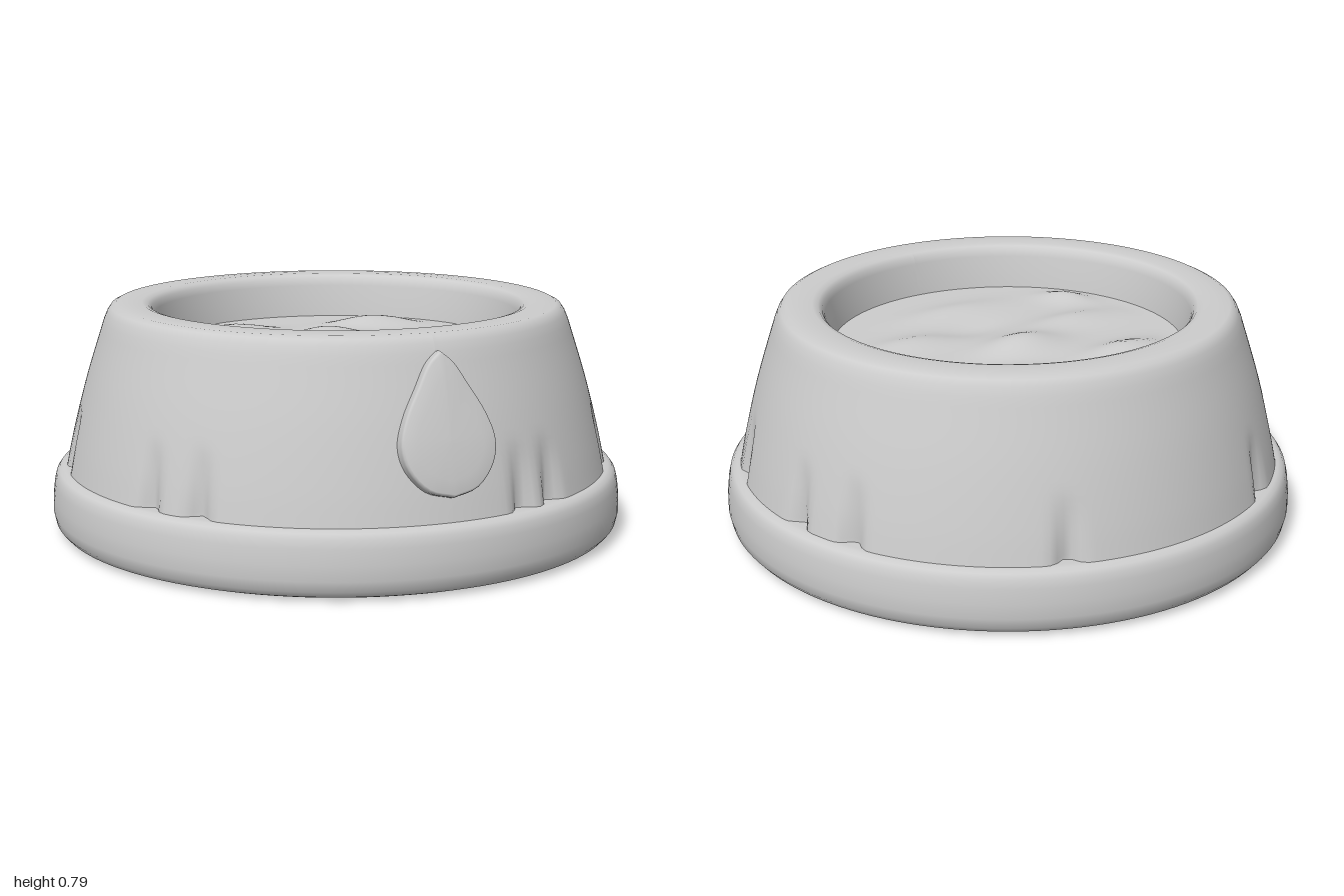
import * as THREE from 'three';

const points = (list) => list.map(([x, y]) => new THREE.Vector2(x, y));

// Smooth profile through a few points, with every segment subdivided
function smoothProfile(list, steps) {
  return new THREE.CatmullRomCurve3(list.map(([x, y]) => new THREE.Vector3(x, y, 0)), false, 'centripetal')
    .getPoints(steps).map((p) => new THREE.Vector2(p.x, p.y));
}

// Solid foot ring with a flat underside
function makeBase() {
  return new THREE.LatheGeometry(points([
    [0, 0], [0.9, 0], [0.945, 0.004], [0.975, 0.015], [0.992, 0.035], [1, 0.07], [0.999, 0.12],
    [0.993, 0.17], [0.986, 0.198], [0.975, 0.214], [0.96, 0.222], [0.94, 0.224], [0.8, 0.224],
  ]), 128);
}

// Sloping wall and rounded lip, with small flutes pressed in along the foot
function makeBody() {
  const outer = smoothProfile([
    [0.953, 0.2], [0.925, 0.33], [0.875, 0.52], [0.808, 0.73],
  ], 20);
  const lip = points([
    [0.796, 0.758], [0.783, 0.777], [0.765, 0.786], [0.72, 0.788], [0.675, 0.787], [0.655, 0.781],
    [0.642, 0.768], [0.634, 0.745], [0.625, 0.69], [0.612, 0.63], [0.608, 0.58],
  ]);
  const geometry = new THREE.LatheGeometry([...outer, ...lip], 240);
  const flutes = [
    [-0.48, -0.8], [0.35, -0.87], [-0.93, -0.15], [0.92, -0.17], [0.86, -0.4], [0.89, 0.28],
    [0.8, 0.5], [0.27, 0.9], [0.4, 0.85], [-0.82, 0.45], [-0.7, 0.6], [-0.76, -0.55],
  ].map(([x, z]) => Math.atan2(x, z));
  const pos = geometry.attributes.position;
  for (let i = 0; i < pos.count; i++) {
    const x = pos.getX(i), y = pos.getY(i), z = pos.getZ(i);
    const fade = THREE.MathUtils.clamp((0.44 - y) / 0.22, 0, 1);
    if (fade === 0) continue;
    const angle = Math.atan2(x, z);
    let dent = 0;
    for (const a of flutes) dent = Math.max(dent, Math.exp(-(((angle - a) / 0.035) ** 2)));
    const scale = 1 - 0.045 * dent * fade;
    pos.setXYZ(i, x * scale, y, z * scale);
  }
  geometry.computeVertexNormals();
  return geometry;
}

// Filling with soft, uneven mounds: x, z, width, depth, height
function makeFilling() {
  const mounds = [
    [0, -0.09, 0.15, 0.1, 0.045], [-0.27, -0.32, 0.16, 0.08, 0.035], [0.27, -0.32, 0.16, 0.08, 0.035],
    [-0.3, 0.04, 0.18, 0.08, 0.025], [0.32, 0.13, 0.17, 0.08, 0.025], [-0.46, 0.29, 0.09, 0.09, 0.03],
    [0, 0.36, 0.2, 0.08, 0.02], [0.05, 0.17, 0.14, 0.08, -0.015],
  ];
  const geometry = new THREE.RingGeometry(0.001, 0.617, 96, 32);
  geometry.rotateX(-Math.PI / 2);
  const pos = geometry.attributes.position;
  for (let i = 0; i < pos.count; i++) {
    const x = pos.getX(i), z = pos.getZ(i);
    const edge = THREE.MathUtils.smoothstep(0.617 - Math.hypot(x, z), 0, 0.12);
    let y = 0;
    for (const [mx, mz, w, d, h] of mounds) y += h * Math.exp(-(((x - mx) / w) ** 2) - ((z - mz) / d) ** 2);
    pos.setY(i, 0.63 + y * edge);
  }
  geometry.computeVertexNormals();
  return geometry;
}

// Domed teardrop built from shrinking outlines, lying in the xy plane
function makeDrop() {
  const half = new THREE.CatmullRomCurve3([
    [0, -0.225], [0.085, -0.2], [0.145, -0.13], [0.16, -0.055], [0.135, 0.03], [0.085, 0.12], [0.04, 0.195], [0, 0.23],
  ].map(([x, y]) => new THREE.Vector3(x, y, 0))).getPoints(28);
  const outline = [...half, ...half.slice(1, -1).reverse().map((p) => new THREE.Vector3(-p.x, p.y, 0))];
  const layers = [[1, -0.08], [1, -0.012], [0.985, -0.003], [0.95, 0.002], [0.7, 0.008], [0.35, 0.012], [0, 0.013]];
  const n = outline.length, verts = [], index = [];
  layers.forEach(([s, z], k) => outline.forEach((p, i) => {
    verts.push(p.x * s, (p.y + 0.05) * s - 0.05, z);
    if (k === 0) return;
    const j = (i + 1) % n, a = (k - 1) * n + i, b = (k - 1) * n + j, c = k * n + j, d = k * n + i;
    index.push(a, b, d);
    if (s > 0) index.push(b, c, d);
  }));
  const geometry = new THREE.BufferGeometry();
  geometry.setAttribute('position', new THREE.Float32BufferAttribute(verts, 3));
  geometry.setIndex(index);
  geometry.computeVertexNormals();
  return geometry;
}

export function createModel() {
  const lightGrey = new THREE.MeshStandardMaterial({ color: 0xcccccc });
  lightGrey.name = 'light grey';
  const group = new THREE.Group();
  group.name = 'bowl';
  const add = (name, geometry) => {
    const mesh = new THREE.Mesh(geometry, lightGrey);
    mesh.name = name;
    group.add(mesh);
    return mesh;
  };
  add('base', makeBase());
  add('body', makeBody());
  add('filling', makeFilling());

  // Teardrop badge leaning with the front wall
  const drop = add('teardropBadge', makeDrop());
  drop.position.set(0, 0.522, 0.902);
  drop.rotation.x = -0.26;
  return group;
}
